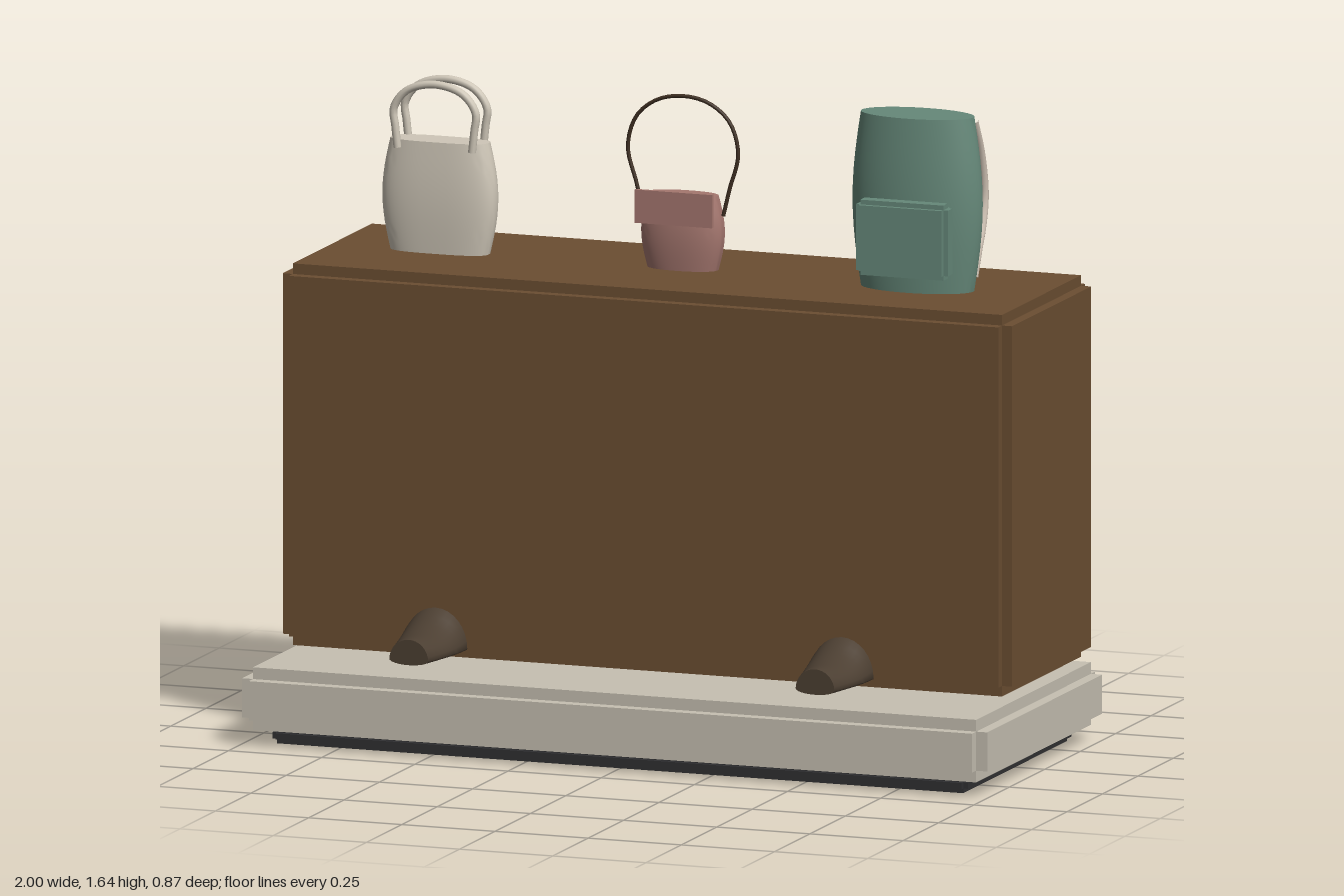
import * as THREE from 'three';
import { toCreasedNormals, mergeGeometries } from 'three/addons/utils/BufferGeometryUtils.js';

const mat = (name, color) => new THREE.MeshStandardMaterial({ name, color });
const V = (x, y, z) => new THREE.Vector3(x, y, z);

export function createModel() {
  const root = new THREE.Group();
  const M = {
    wood: mat('walnut wood', 0x6b4e32),
    stone: mat('pale stone', 0xc6c0b2),
    plinth: mat('charcoal plinth', 0x303032),
    leather: mat('dark leather', 0x4c3f32),
    cream: mat('cream leather', 0xcfc7b8),
    green: mat('sage fabric', 0x66897a),
    pink: mat('rose leather', 0xa5776f),
    cord: mat('dark cord', 0x3f2f22),
    strap: mat('beige strap', 0xcfc2b4),
  };
  const add = (name, geo, material, parent = root) => {
    const m = new THREE.Mesh(geo, material);
    m.name = name;
    parent.add(m);
    return m;
  };
  const group = (name, x, y, z) => {
    const g = new THREE.Group();
    g.name = name;
    g.position.set(x, y, z);
    root.add(g);
    return g;
  };

  // Box with rebated edges: three crossing boxes, each full size on one axis
  const notched = (w, h, d, b) => mergeGeometries([
    new THREE.BoxGeometry(w, h - 2 * b, d - 2 * b),
    new THREE.BoxGeometry(w - 2 * b, h, d - 2 * b),
    new THREE.BoxGeometry(w - 2 * b, h - 2 * b, d),
  ]);

  // Bulging bag body: lathe stretched to an oval; power > 2 squares it off
  const body = (hw, hd, h, endScale, power) => {
    const pts = [new THREE.Vector2(0, 0)];
    for (let i = 0; i <= 12; i++) {
      const t = i / 12;
      pts.push(new THREE.Vector2(endScale + (1 - endScale) * Math.sin(Math.PI * t), h * t));
    }
    pts.push(new THREE.Vector2(0, h));
    const g = new THREE.LatheGeometry(pts, 48);
    const p = g.attributes.position;
    for (let i = 0; i < p.count; i++) {
      const x = p.getX(i), z = p.getZ(i), r = Math.hypot(x, z) || 1;
      const sq = (v) => Math.sign(v) * Math.pow(Math.abs(v / r), 2 / power) * r;
      p.setX(i, sq(x) * hw);
      p.setZ(i, sq(z) * hd);
    }
    return toCreasedNormals(g, 0.9);
  };

  const tube = (pts, r) =>
    new THREE.TubeGeometry(new THREE.CatmullRomCurve3(pts), 40, r, 10);

  // Display stand
  add('plinth', notched(1.865, 0.04, 0.755, 0.012), M.plinth).position.y = 0.022;
  add('baseSlab', notched(2, 0.16, 0.87, 0.03), M.stone).position.y = 0.12;
  add('cabinet', notched(1.957, 0.975, 0.612, 0.027), M.wood).position.set(-0.002, 0.7025, -0.111);

  // Shoes: cylinder along z reshaped to a domed upper with a flat sole
  const last = new THREE.CatmullRomCurve3([
    V(0.052, 0.052, 0.385), V(0.073, 0.055, 0.3), V(0.081, 0.07, 0.25),
    V(0.085, 0.1, 0.195), V(0.08, 0.13, 0.1), V(0.06, 0.13, 0.03),
  ]);
  const shoeGeo = () => {
    const g = new THREE.CylinderGeometry(1, 1, 1, 32, 16).rotateX(Math.PI / 2);
    const p = g.attributes.position;
    for (let i = 0; i < p.count; i++) {
      const s = last.getPoint(0.5 - p.getZ(i)), y = p.getY(i);
      p.setXYZ(i, p.getX(i) * s.x, 0.243 + y * (y > 0 ? s.y : 0.013), s.z);
    }
    return toCreasedNormals(g, 0.9);
  };
  for (const x of [-0.56, 0.53]) {
    const shoe = group('shoe', x, 0, 0);
    add('shoeUpper', shoeGeo(), M.leather, shoe);
    add('heel', new THREE.CylinderGeometry(0.026, 0.018, 0.05, 16), M.leather, shoe)
      .position.set(0, 0.229, 0.05);
  }

  // Cream handbag with two loop handles
  const tote = group('handbag', -0.648, 1.2, -0.07);
  add('handbagBody', body(0.152, 0.051, 0.285, 0.86, 2.8), M.cream, tote);
  for (const z of [-0.04, 0.04]) {
    add('handbagHandle', tube([
      V(-0.1, 0.265, z), V(-0.106, 0.32, z), V(-0.11, 0.365, z), V(-0.075, 0.412, z), V(0, 0.432, z),
      V(0.075, 0.412, z), V(0.11, 0.365, z), V(0.106, 0.32, z), V(0.1, 0.265, z),
    ], 0.01), M.cream, tote);
  }

  // Small rose bag with a front flap and a thin cord
  const purse = group('smallBag', 0, 1.2, -0.078);
  add('smallBagBody', body(0.11, 0.052, 0.19, 0.85, 2.2), M.pink, purse);
  add('smallBagFlap', new THREE.BoxGeometry(0.208, 0.085, 0.01), M.pink, purse).position.set(-0.002, 0.162, 0.06);
  add('smallBagCord', tube([
    V(-0.108, 0.14, 0), V(-0.125, 0.21, 0), V(-0.148, 0.3, 0), V(-0.125, 0.38, 0), V(-0.07, 0.425, 0),
    V(0, 0.439, 0), V(0.07, 0.425, 0), V(0.125, 0.38, 0), V(0.148, 0.3, 0), V(0.125, 0.21, 0), V(0.108, 0.14, 0),
  ], 0.005), M.cord, purse);

  // Green backpack with a front pocket and two back straps
  const pack = group('backpack', 0.642, 1.2, -0.045);
  add('backpackBody', body(0.172, 0.086, 0.445, 0.87, 2), M.green, pack);
  add('backpackPocket', notched(0.247, 0.192, 0.056, 0.012), M.green, pack).position.set(0.005, 0.144, 0.109);
  for (const x of [-0.117, 0.117]) {
    add('backpackStrap', tube([
      V(x, 0.418, -0.09), V(x, 0.33, -0.137), V(x, 0.25, -0.161), V(x, 0.2, -0.164),
      V(x, 0.14, -0.148), V(x, 0.08, -0.118), V(x, 0.018, -0.09),
    ], 0.011), M.strap, pack);
  }
  return root;
}
